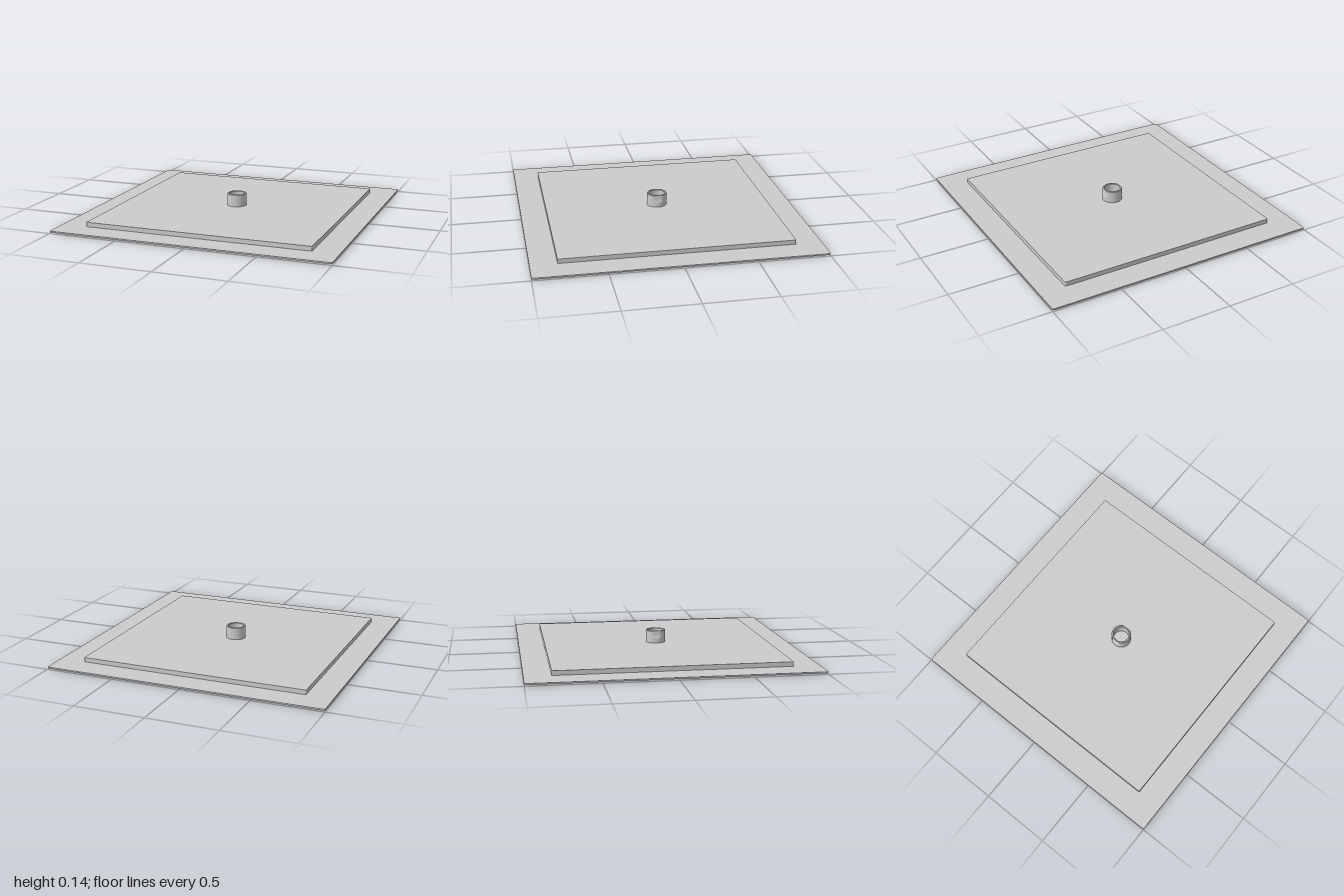
import * as THREE from 'three';
import { mergeGeometries, toCreasedNormals } from 'three/addons/utils/BufferGeometryUtils.js';

const material = new THREE.MeshStandardMaterial({ color: 0xcccccc });

function part(name, geometry, parent) {
  const mesh = new THREE.Mesh(geometry, material);
  mesh.name = name;
  parent.add(mesh);
  return mesh;
}

// Square outline with small rounded corners
function roundedSquare(half, r) {
  const s = new THREE.Shape();
  const k = half - r;
  s.absarc(k, k, r, 0, Math.PI / 2);
  s.absarc(-k, k, r, Math.PI / 2, Math.PI);
  s.absarc(-k, -k, r, Math.PI, Math.PI * 1.5);
  s.absarc(k, -k, r, Math.PI * 1.5, Math.PI * 2);
  s.closePath();
  return s;
}

// Horizontal slab from y0 to y1
function slab(shape, y0, y1) {
  const g = new THREE.ExtrudeGeometry(shape, { depth: y1 - y0, bevelEnabled: false, curveSegments: 8 });
  return g.rotateX(-Math.PI / 2).translate(0, y0, 0);
}

export function createModel() {
  const group = new THREE.Group();
  group.name = 'showerHead';

  const plateBottom = 0.008, plateMid = 0.012, plateTop = 0.018, boxTop = 0.05, top = 0.14;
  const corners = [];
  for (const x of [-0.89, 0.89]) for (const z of [-0.8, 0.8]) corners.push([x, z]);

  // Thin face plate, its underside pierced by round recesses near the corners
  part('facePlateUpper', slab(roundedSquare(1, 0.012), plateMid, plateTop), group);
  const lower = roundedSquare(1, 0.012);
  for (const [x, z] of corners) {
    lower.holes.push(new THREE.Path().absarc(x, -z, 0.037, 0, Math.PI * 2, true));
  }
  part('facePlateLower', slab(lower, plateBottom, plateMid), group);

  // Flush screw covers inside the recesses
  for (const [x, z] of corners) {
    const cover = new THREE.CylinderGeometry(0.034, 0.034, plateMid - plateBottom, 32);
    part('screwCover', cover, group).position.set(x, (plateMid + plateBottom) / 2, z);
  }

  // Water chamber on the back of the plate
  part('waterChamber', slab(roundedSquare(0.815, 0.008), plateTop, boxTop), group);

  // Staggered spray nozzles
  const nozzles = [];
  const count = 18, pitch = 0.0873;
  for (let i = 0; i < count; i++) {
    for (let j = 0; j < count; j++) {
      if ((i + j) % 2) continue;
      const n = new THREE.CylinderGeometry(0.01, 0.008, plateBottom + 0.002, 12);
      nozzles.push(n.translate((i - (count - 1) / 2) * pitch, (plateBottom + 0.002) / 2, (j - (count - 1) / 2) * pitch));
    }
  }
  part('sprayNozzles', mergeGeometries(nozzles), group);

  // Hollow inlet collar
  const profile = [[0.071, boxTop]];
  for (let i = 0; i <= 8; i++) profile.push([0.071, 0.075 + i * 0.004]);
  profile.push([0.071, top - 0.003], [0.068, top], [0.059, top], [0.056, top - 0.004], [0.056, boxTop + 0.004], [0, boxTop + 0.004]);
  const collar = new THREE.LatheGeometry(profile.map(([r, y]) => new THREE.Vector2(r, y)), 64);

  // Press the two sides into wrench flats that blend out downwards
  const p = collar.attributes.position;
  for (let i = 0; i < p.count; i++) {
    const t = THREE.MathUtils.smoothstep(p.getY(i), 0.075, 0.107);
    const limit = 0.071 - 0.008 * t;
    p.setX(i, THREE.MathUtils.clamp(p.getX(i), -limit, limit));
  }
  part('inletCollar', toCreasedNormals(collar, 0.5), group);

  return group;
}
